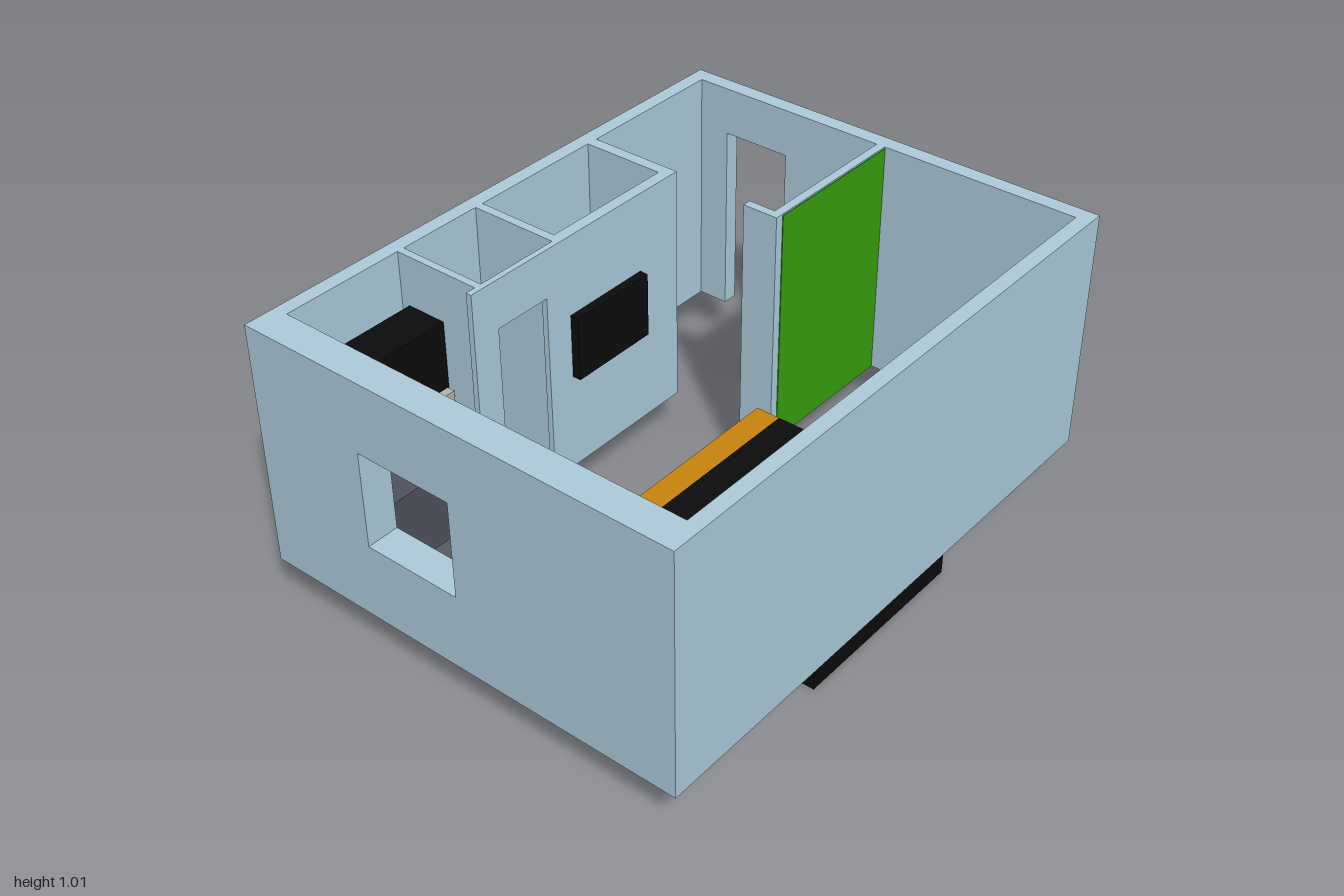
import * as THREE from 'three';

const mat = (color) => new THREE.MeshStandardMaterial({ color });
const WALL = mat(0xaecddd), BLACK = mat(0x0c0c0c), WOOD = mat(0xc8860d);
const SLATE = mat(0x50525e), PALE = mat(0xb8b4b2), GREEN = mat(0x38a00e);
const Y0 = 0.17, Y1 = 1.01;

export function createModel() {
  const root = new THREE.Group();

  const group = (name) => {
    const g = new THREE.Group();
    g.name = name;
    root.add(g);
    return g;
  };
  const add = (parent, name, geo, material) => {
    const m = new THREE.Mesh(geo, material);
    m.name = name;
    parent.add(m);
    return m;
  };
  // Box given by its limits on each axis
  const box = (parent, name, material, [x0, x1], [y0, y1], [z0, z1]) => {
    const m = add(parent, name, new THREE.BoxGeometry(x1 - x0, y1 - y0, z1 - z0), material);
    m.position.set((x0 + x1) / 2, (y0 + y1) / 2, (z0 + z1) / 2);
    return m;
  };
  // Upright wall slab from a to b with an optional opening [a, b, bottom, top];
  // an opening that starts at the floor becomes a doorway notch
  const slab = (a, b, thickness, opening) => {
    const s = new THREE.Shape();
    s.moveTo(a, Y0);
    if (opening) {
      const [o0, o1, low, high] = opening;
      if (low <= Y0) {
        s.lineTo(o0, Y0); s.lineTo(o0, high); s.lineTo(o1, high); s.lineTo(o1, Y0);
      } else {
        const h = new THREE.Path();
        h.moveTo(o0, low); h.lineTo(o0, high); h.lineTo(o1, high); h.lineTo(o1, low);
        h.closePath();
        s.holes.push(h);
      }
    }
    s.lineTo(b, Y0); s.lineTo(b, Y1); s.lineTo(a, Y1);
    s.closePath();
    return new THREE.ExtrudeGeometry(s, { depth: thickness, bevelEnabled: false });
  };
  const walls = group('walls');
  const wallAlongX = (name, [x0, x1], [z0, z1], opening) =>
    add(walls, name, slab(x0, x1, z1 - z0, opening).translate(0, 0, z0), WALL);
  const wallAlongZ = (name, [x0, x1], [z0, z1], opening) =>
    add(walls, name, slab(z0, z1, x1 - x0, opening).rotateY(-Math.PI / 2).translate(x1, 0, 0), WALL);

  // Outer walls, with a window on one side and the entrance on the other
  wallAlongX('frontWall', [-1, 1], [0.715, 0.765]);
  wallAlongX('backWall', [-1, 1], [-0.765, -0.715]);
  wallAlongZ('windowWall', [-1, -0.89], [-0.715, 0.715], [-0.35, -0.01, 0.435, 0.765]);
  wallAlongZ('entranceWall', [0.945, 1], [-0.715, 0.715], [-0.605, -0.36, Y0, 0.845]);

  // Inner partitions
  wallAlongX('closetFront', [-0.5, -0.11], [-0.405, -0.385], [-0.4, -0.195, Y0, 0.845]);
  wallAlongX('bathFront', [-0.11, 0.41], [-0.425, -0.385]);
  wallAlongZ('closetSide', [-0.465, -0.44], [-0.715, -0.405]);
  wallAlongZ('closetDivider', [-0.14, -0.11], [-0.715, -0.405]);
  wallAlongZ('bathSide', [0.37, 0.41], [-0.715, -0.425], [-0.605, -0.43, Y0, 0.845]);
  wallAlongX('hallPartition', [0.38, 0.945], [-0.005, 0.025]);
  wallAlongZ('hallStub', [0.38, 0.41], [-0.1, -0.005]);
  box(walls, 'greenPaint', GREEN, [0.41, 0.945], [Y0, 1.005], [0.024, 0.028]);

  // Kitchen
  const kitchen = group('kitchen');
  const kx = [-0.89, -0.468];
  box(kitchen, 'counter', SLATE, kx, [0.135, 0.4], [-0.675, -0.468]);
  box(kitchen, 'upperCabinet', BLACK, [-0.888, -0.47], [0.6, 0.84], [-0.68, -0.54]);
  box(kitchen, 'hood', PALE, [-0.66, -0.475], [0.56, 0.61], [-0.66, -0.513]);
  box(kitchen, 'sink', BLACK, [-0.875, -0.745], [0.4, 0.404], [-0.62, -0.52]);
  for (const x of [-0.605, -0.53])
    for (const z of [-0.6, -0.515])
      add(kitchen, 'burner', new THREE.CylinderGeometry(0.03, 0.03, 0.012, 20), BLACK)
        .position.set(x, 0.406, z);
  const spout = new THREE.CatmullRomCurve3([
    [0, 0.4, -0.64], [0, 0.48, -0.64], [0, 0.51, -0.61], [0, 0.49, -0.58],
  ].map((p) => new THREE.Vector3(p[0] - 0.81, p[1], p[2])));
  add(kitchen, 'faucet', new THREE.TubeGeometry(spout, 12, 0.008, 8), SLATE);

  // Bed
  const bed = group('bed');
  box(bed, 'mattress', BLACK, [-0.875, -0.472], [0.29, 0.39], [0.01, 0.5]);
  box(bed, 'bedBase', WOOD, [-0.87, -0.467], [0.19, 0.29], [0.15, 0.5]);
  box(bed, 'bedFoot', PALE, [-0.87, -0.472], [0.2, 0.29], [0.06, 0.15]);
  box(bed, 'headPlinth', PALE, [-0.94, -0.45], [0.135, 0.19], [0.5, 0.58]);

  // Cabinet framing the head of the bed
  const cabinet = group('bedCabinet');
  box(cabinet, 'cabinetPost', WOOD, [-0.45, -0.33], [0.163, 0.93], [0.5, 0.572]);
  box(cabinet, 'cabinetTop', WOOD, [-0.89, -0.45], [0.66, 0.93], [0.5, 0.572]);
  box(cabinet, 'cabinetShelf', WOOD, [-0.89, -0.45], [0.66, 0.68], [0.572, 0.7]);
  box(cabinet, 'cabinetBody', BLACK, [-0.89, -0.33], [0.68, 0.93], [0.572, 0.702]);
  box(cabinet, 'cabinetSide', BLACK, [-0.45, -0.33], [Y0, 0.68], [0.572, 0.702]);

  // Sofa: side profile (z, y) swept across its width
  const profile = new THREE.Shape([
    [0.37, 0], [0.705, 0], [0.705, 0.62], [0.675, 0.62], [0.6, 0.41], [0.37, 0.36],
  ].map(([z, y]) => new THREE.Vector2(z, y)));
  const sofa = new THREE.ExtrudeGeometry(profile, { depth: 0.67, bevelEnabled: false });
  add(root, 'sofa', sofa.rotateY(-Math.PI / 2).translate(0.37, 0, 0), BLACK);

  // Dining table on two end supports
  const table = group('table');
  box(table, 'tableTop', BLACK, [0.388, 0.925], [0.42, 0.49], [0.42, 0.685]);
  for (const x of [0.4, 0.88])
    box(table, 'tableLeg', BLACK, [x, x + 0.04], [0.2, 0.42], [0.48, 0.62]);

  // Wall screen
  box(root, 'screen', BLACK, [-0.095, 0.23], [0.51, 0.735], [-0.385, -0.355]);

  return root;
}
